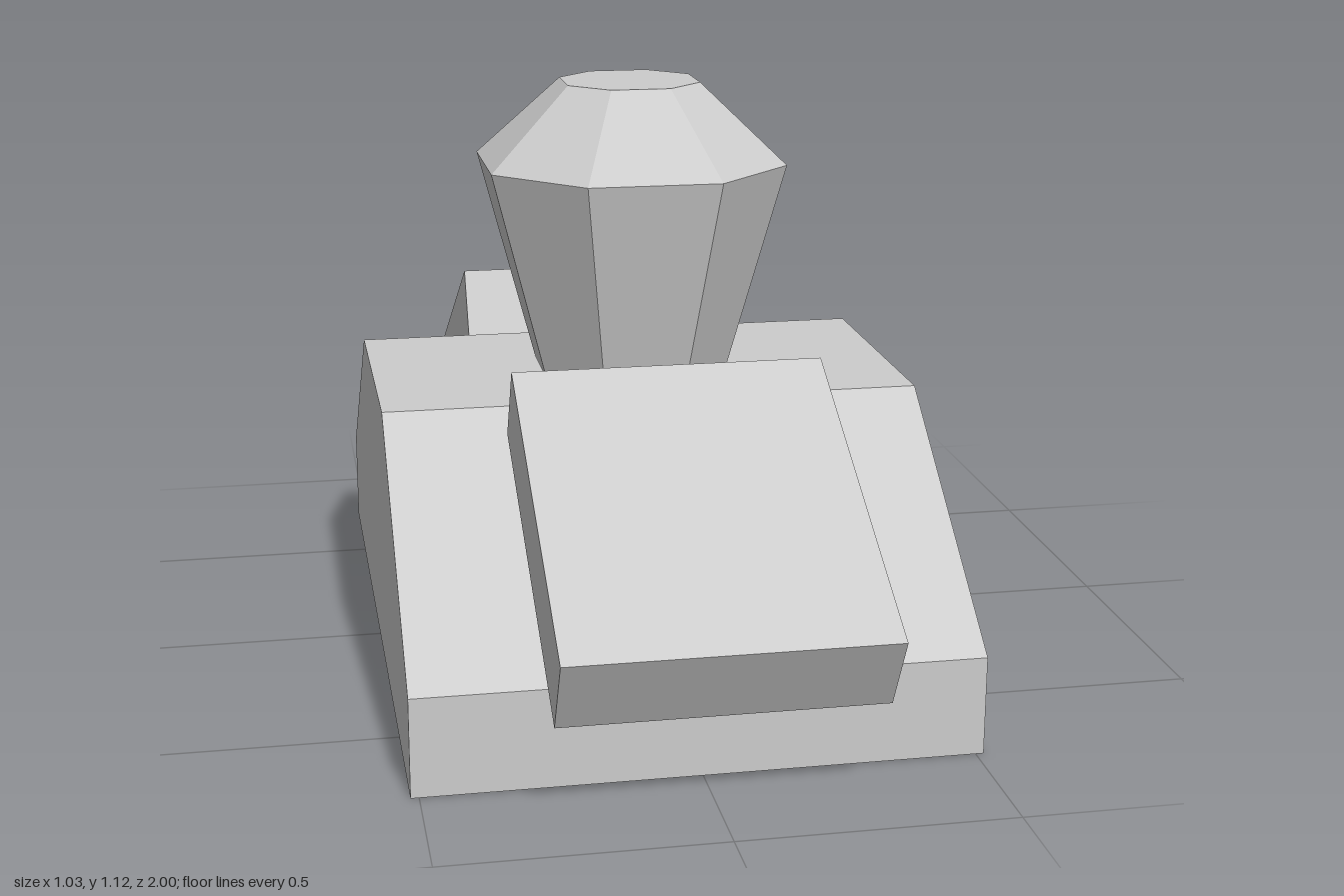
import * as THREE from 'three';
import { ConvexGeometry } from 'three/addons/geometries/ConvexGeometry.js';

export function createModel() {
  const group = new THREE.Group();
  const grey = new THREE.MeshStandardMaterial({ color: 0xcccccc, flatShading: true });
  grey.name = 'light grey';

  const add = (name, geometry) => {
    const mesh = new THREE.Mesh(geometry, grey);
    mesh.name = name;
    group.add(mesh);
    return mesh;
  };

  // Base: sloped block, profile drawn in z/y and extruded across x
  const halfWidth = 0.515;
  const profile = new THREE.Shape([
    [-0.75, 0], [0.75, 0], [0.75, 0.185], [0.265, 0.55], [-0.265, 0.55], [-0.75, 0.185],
  ].map(([z, y]) => new THREE.Vector2(z, y)));
  const baseGeometry = new THREE.ExtrudeGeometry(profile, { depth: halfWidth * 2, bevelEnabled: false });
  baseGeometry.translate(0, 0, -halfWidth).rotateY(Math.PI / 2);
  add('base', baseGeometry);

  // Sloping slabs, mirrored front and back
  for (const side of [1, -1]) {
    const slab = add(side > 0 ? 'frontSlab' : 'backSlab', new THREE.BoxGeometry(0.576, 0.159, 0.676));
    slab.position.set(0, 0.424, side * 0.665);
    slab.rotation.x = side * 0.499;
  }

  // Knob: stacked square rings with cut corners
  const points = [];
  for (const [y, r] of [[0.55, 0.18], [0.965, 0.287], [1.12, 0.129]]) {
    const c = r * 0.443;
    for (const sx of [1, -1]) {
      for (const sz of [1, -1]) {
        points.push(new THREE.Vector3(sx * r, y, sz * c), new THREE.Vector3(sx * c, y, sz * r));
      }
    }
  }
  add('knob', new ConvexGeometry(points));

  return group;
}
